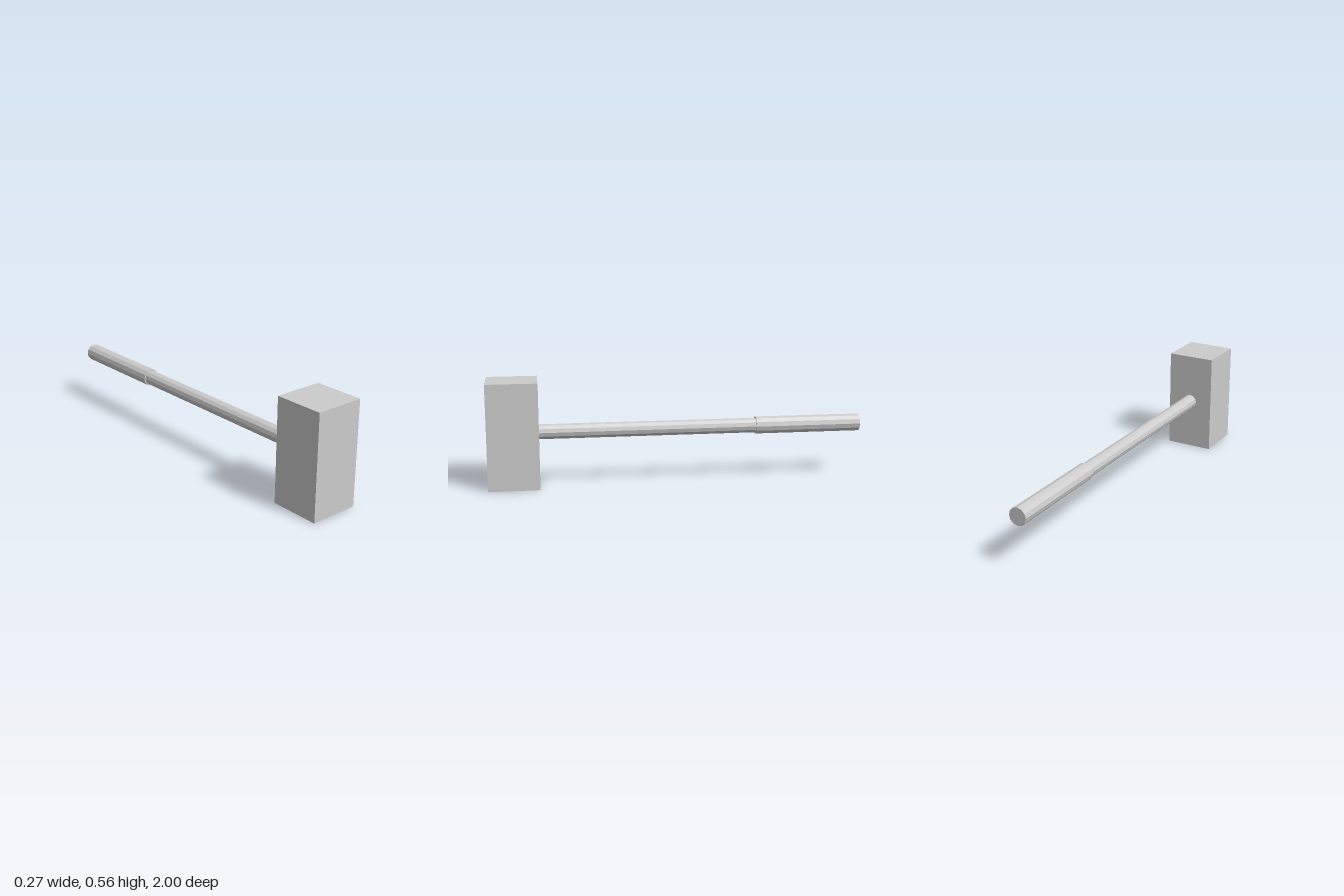
import * as THREE from 'three';

export function createModel() {
  const model = new THREE.Group();
  model.name = 'mallet';
  const grey = new THREE.MeshStandardMaterial({ color: 0xcccccc, flatShading: true });
  grey.name = 'grey';
  const axisY = 0.28;

  const add = (name, geometry, z) => {
    const mesh = new THREE.Mesh(geometry, grey);
    mesh.name = name;
    mesh.position.set(0, axisY, z);
    model.add(mesh);
  };

  // Faceted rod lying along z between two depths
  const rod = (name, radius, z0, z1) =>
    add(name, new THREE.CylinderGeometry(radius, radius, z1 - z0, 12).rotateX(Math.PI / 2), (z0 + z1) / 2);

  // Block head, standing upright at the front
  add('head', new THREE.BoxGeometry(0.266, 0.556, 0.266).translate(0, -0.002, 0), 0.867);
  // Shaft runs from the head into the thicker grip
  rod('shaft', 0.04, -0.45, 0.75);
  rod('grip', 0.047, -1, -0.425);

  return model;
}
